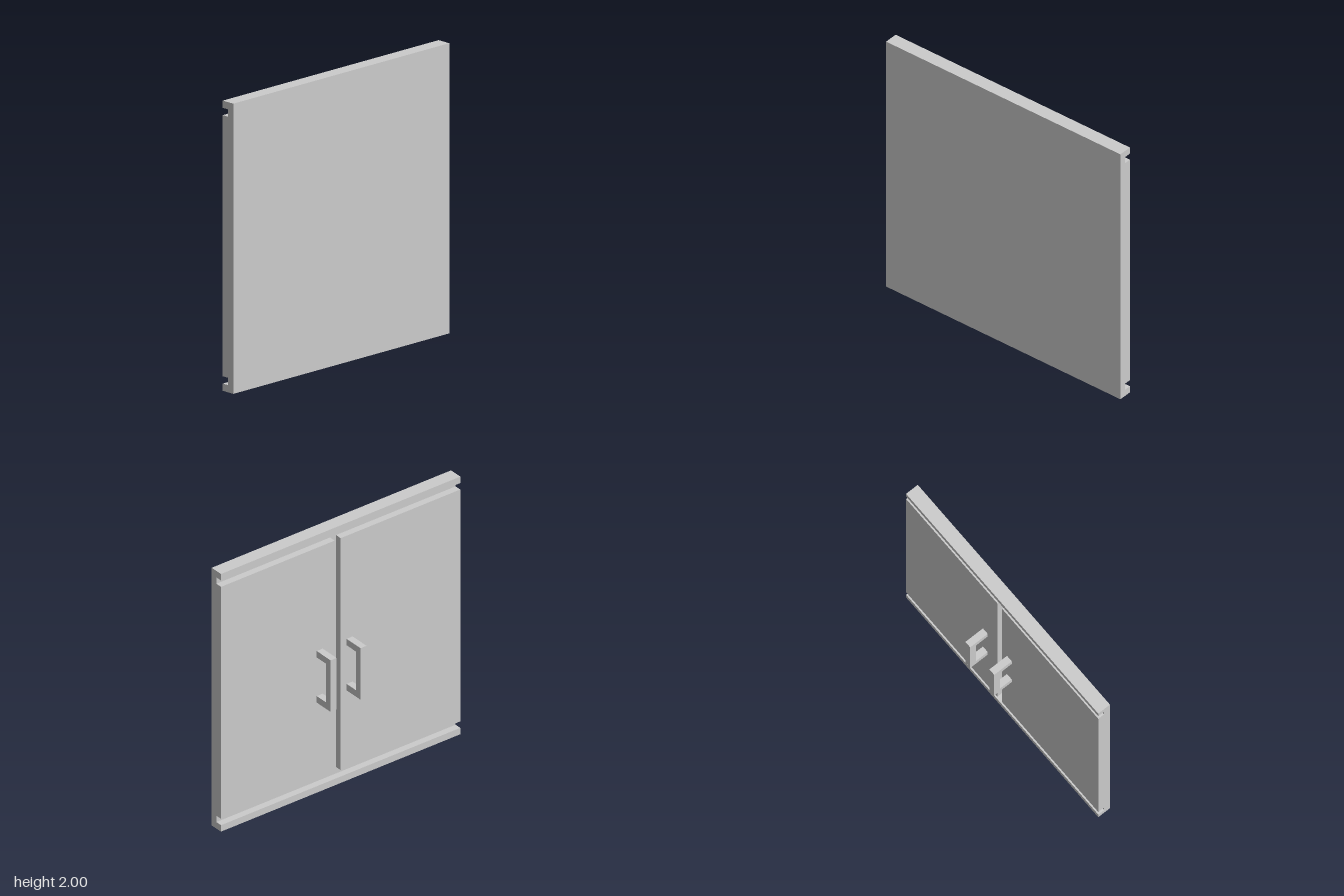
import * as THREE from 'three';

const material = new THREE.MeshStandardMaterial({ color: 0xcccccc, flatShading: true });

// Box given by its minimum and maximum corners
function addBox(parent, name, [x0, y0, z0], [x1, y1, z1]) {
  const mesh = new THREE.Mesh(new THREE.BoxGeometry(x1 - x0, y1 - y0, z1 - z0), material);
  mesh.position.set((x0 + x1) / 2, (y0 + y1) / 2, (z0 + z1) / 2);
  mesh.name = name;
  parent.add(mesh);
}

// Square-section pull handle: a C profile in x/y, extruded along z
function addHandle(parent, name, z) {
  const points = [
    [0.025, 0.7], [0.025, 0.75], [-0.075, 0.75], [-0.075, 1.05],
    [0.025, 1.05], [0.025, 1.1], [-0.125, 1.1], [-0.125, 0.7],
  ].map(([x, y]) => new THREE.Vector2(x, y));
  const geometry = new THREE.ExtrudeGeometry(new THREE.Shape(points), { depth: 0.05, bevelEnabled: false });
  const mesh = new THREE.Mesh(geometry, material);
  mesh.position.z = z;
  mesh.name = name;
  parent.add(mesh);
}

export function createModel() {
  const model = new THREE.Group();
  model.name = 'doubleDoor';

  // Full backing panel with a rail along the bottom and top
  addBox(model, 'backPanel', [0.075, 0, -1], [0.125, 2, 1]);
  addBox(model, 'bottomRail', [0.025, 0, -1], [0.075, 0.05, 1]);
  addBox(model, 'topRail', [0.025, 1.95, -1], [0.075, 2, 1]);

  // Two door leaves with a narrow gap between them
  addBox(model, 'rearDoor', [0.025, 0.1, -1], [0.075, 1.9, -0.05]);
  addBox(model, 'frontDoor', [0.025, 0.1, 0], [0.075, 1.9, 1]);

  addHandle(model, 'rearHandle', -0.2);
  addHandle(model, 'frontHandle', 0.05);

  return model;
}
